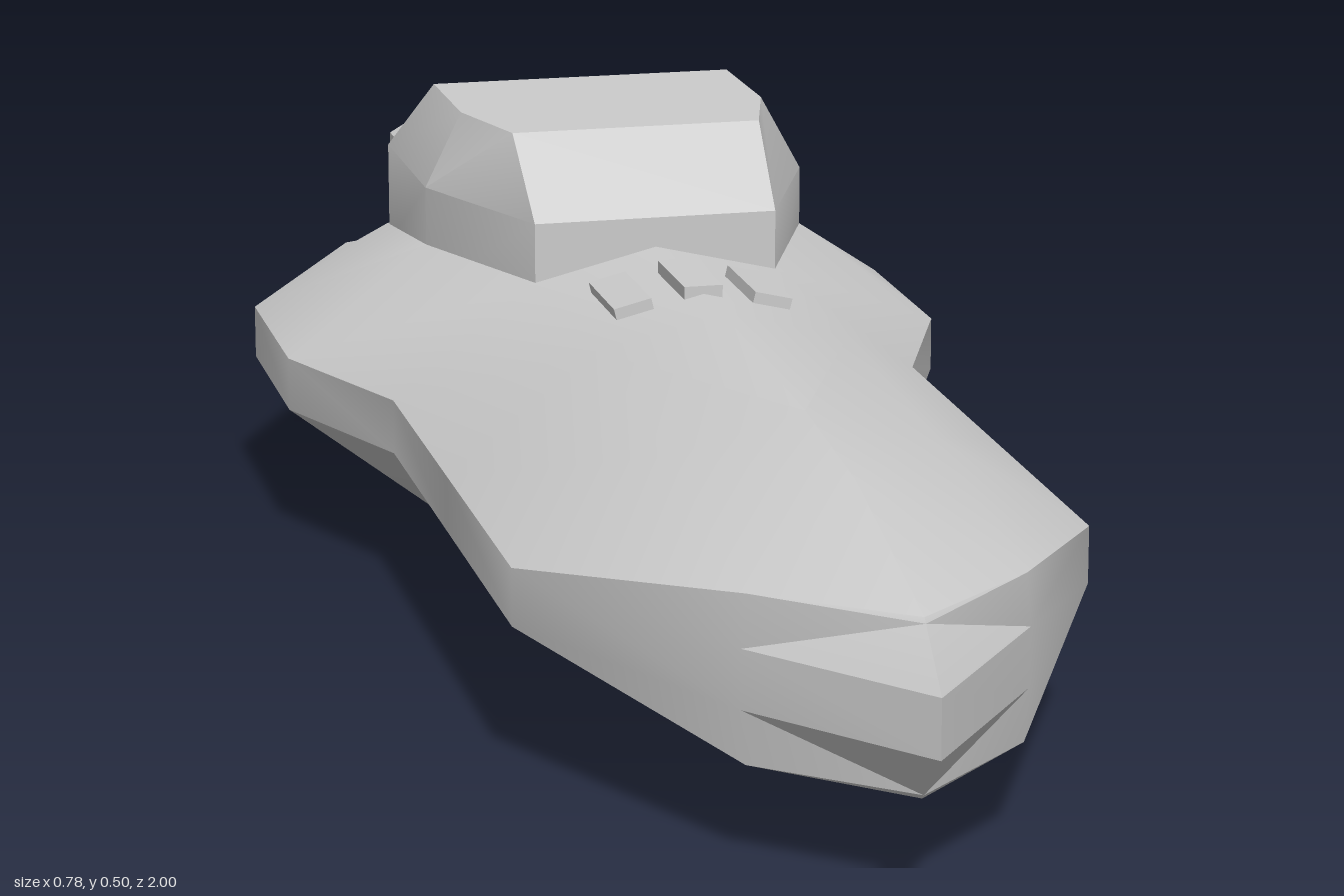
import * as THREE from 'three';
import { toCreasedNormals } from 'three/addons/utils/BufferGeometryUtils.js';

const material = new THREE.MeshStandardMaterial({ color: 0xcccccc });

function addMesh(group, name, geometry, crease = 0.5) {
  const mesh = new THREE.Mesh(toCreasedNormals(geometry, crease), material);
  mesh.name = name;
  group.add(mesh);
  return mesh;
}

// Skin a list of closed rings and close the last one; diagonals mirror per quadrant
function loft(rings) {
  const n = rings[0].length;
  const index = [];
  for (let i = 0; i < rings.length - 1; i++) {
    for (let j = 0; j < n; j++) {
      const k = (j + 1) % n;
      const a = i * n + j, b = i * n + k, c = b + n, d = a + n;
      if (Math.floor(j / (n / 4)) % 2) index.push(a, b, d, b, c, d);
      else index.push(a, b, c, a, c, d);
    }
  }
  const last = (rings.length - 1) * n;
  for (let j = 1; j < n - 1; j++) index.push(last, last + j, last + j + 1);
  const geometry = new THREE.BufferGeometry();
  geometry.setAttribute('position', new THREE.Float32BufferAttribute(rings.flat(2), 3));
  geometry.setIndex(index);
  return geometry;
}

const flipX = ([x, y, z]) => [-x, y, z];

// Half section of the hull: crown, shoulder, rail top, rail bottom, bilge, keel
function hullRing(half) {
  return [...half, ...half.slice(1, -1).reverse().map(flipX)];
}

function station(z, crown, [sx, sy], rail, [bx, by], keel) {
  return hullRing([
    [0, crown, z], [sx, sy, z], [rail, 0.225, z],
    [rail, 0.163, z], [bx, by, z], [0, keel, z],
  ]);
}

function buildHull() {
  return loft([
    // upright stem and the pointed nose
    hullRing([[0, 0.285, 0.94], [0, 0.28, 0.945], [0, 0.225, 1],
      [0, 0.163, 1], [0, 0.11, 0.945], [0, 0.105, 0.94]]),
    hullRing([[0, 0.35, 0.7], [0.14, 0.28, 0.815], [0.145, 0.225, 0.815],
      [0.145, 0.163, 0.815], [0.14, 0.107, 0.815], [0, 0.037, 0.7]]),
    // body
    station(0.51, 0.369, [0.14, 0.33], 0.305, [0.14, 0.057], 0.025),
    station(0.17, 0.386, [0.14, 0.352], 0.305, [0.14, 0.035], 0),
    station(-0.14, 0.386, [0.14, 0.352], 0.305, [0.14, 0.035], 0),
    // wider stern
    station(-0.35, 0.386, [0.225, 0.352], 0.39, [0.225, 0.035], 0),
    station(-0.6, 0.35, [0.225, 0.32], 0.39, [0.225, 0.07], 0.037),
    station(-0.8, 0.28, [0.17, 0.258], 0.28, [0.17, 0.13], 0.105),
    station(-0.9, 0.225, [0.12, 0.225], 0.225, [0.12, 0.163], 0.163),
  ]);
}

function buildCabin() {
  const level = (y, outline) => {
    const half = outline.map(([x, z]) => [x, y, z]);
    return [...half, ...half.slice().reverse().map(flipX)];
  };
  const wall = [[0.14, -0.14], [0.225, -0.35], [0.225, -0.588]];
  return loft([
    level(0.3, wall),
    level(0.42, wall),
    level(0.505, [[0.145, -0.235], [0.18, -0.36], [0.18, -0.525]]),
  ]);
}

// Pipe path leaving the cabin and bending down into the deck
function pipePath() {
  const path = new THREE.CurvePath();
  const v = (y, z) => new THREE.Vector3(0, y, z);
  path.add(new THREE.LineCurve3(v(0.37, -0.56), v(0.37, -0.74)));
  path.add(new THREE.QuadraticBezierCurve3(v(0.37, -0.74), v(0.37, -0.83), v(0.28, -0.83)));
  path.add(new THREE.LineCurve3(v(0.28, -0.83), v(0.18, -0.83)));
  return path;
}

export function createModel() {
  const model = new THREE.Group();
  model.name = 'ship';

  addMesh(model, 'hull', buildHull());
  addMesh(model, 'cabin', buildCabin());

  // Octagonal thruster under the stern
  const thruster = new THREE.CylinderGeometry(0.085, 0.085, 0.42, 8);
  thruster.rotateX(Math.PI / 2);
  addMesh(model, 'thruster', thruster).position.set(0, 0.135, -0.79);

  // Pipes with hexagonal collars
  for (const side of [1, -1]) {
    const pipe = new THREE.Group();
    pipe.name = side > 0 ? 'leftPipe' : 'rightPipe';
    pipe.position.x = side * 0.142;
    addMesh(pipe, 'pipe', new THREE.TubeGeometry(pipePath(), 14, 0.041, 6));
    const collar = new THREE.CylinderGeometry(0.06, 0.06, 0.105, 6);
    collar.rotateY(Math.PI / 6);
    collar.rotateX(Math.PI / 2);
    collar.rotateZ(Math.PI / 6);
    addMesh(pipe, 'collar', collar).position.set(0, 0.37, -0.692);
    model.add(pipe);
  }

  // Three raised plates following the slope of the deck
  for (const i of [-1, 0, 1]) {
    const plate = addMesh(model, 'deckPlate', new THREE.BoxGeometry(0.043, 0.022, 0.125));
    plate.position.set(i * 0.077, i ? 0.369 : 0.384, 0.022);
    plate.rotation.z = -i * 0.24;
  }

  return model;
}
